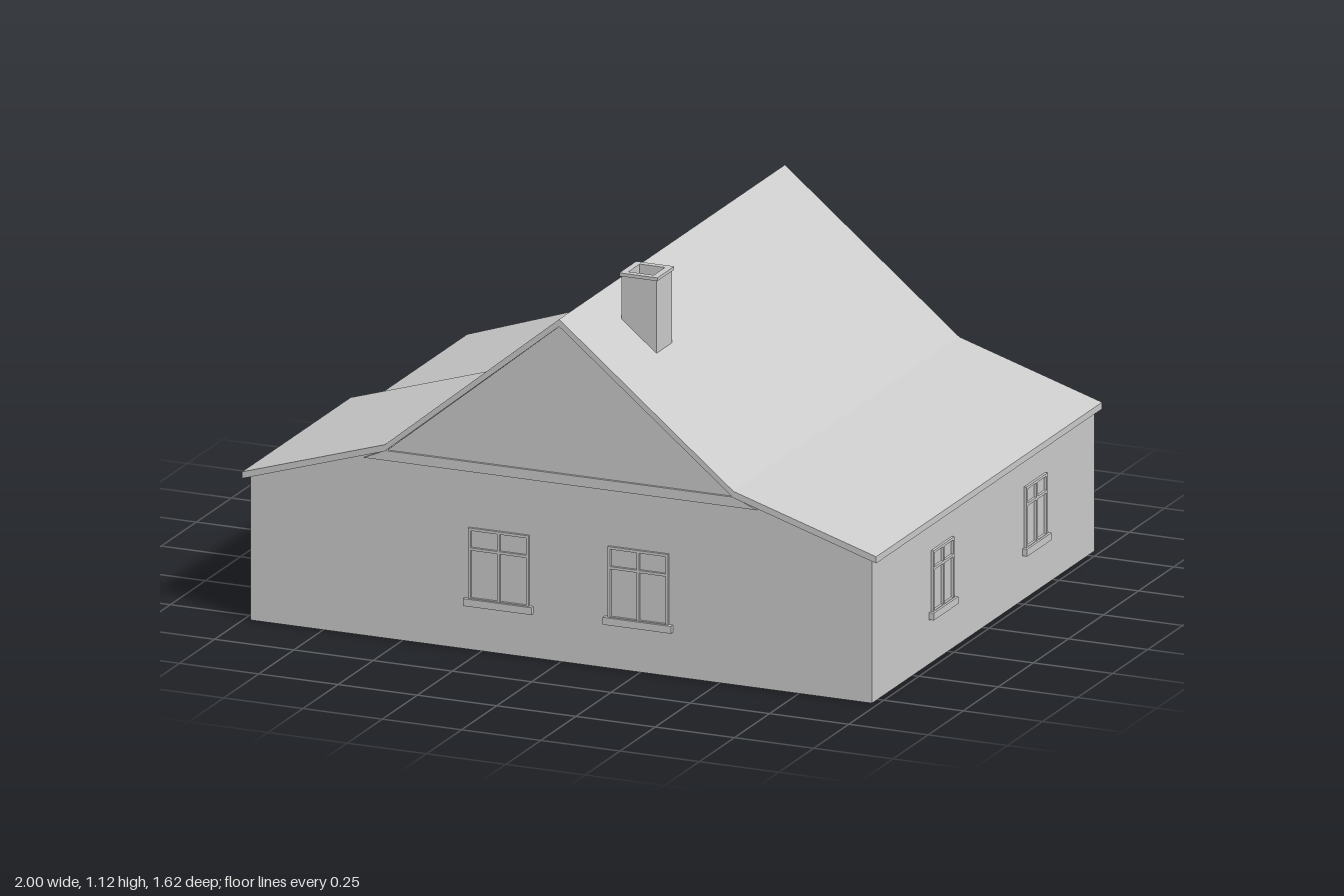
import * as THREE from 'three';

const material = new THREE.MeshStandardMaterial({ color: 0xcccccc, flatShading: true });

function add(parent, name, geometry, x = 0, y = 0, z = 0) {
  const mesh = new THREE.Mesh(geometry, material);
  mesh.name = name;
  mesh.position.set(x, y, z);
  parent.add(mesh);
  return mesh;
}

const shapeOf = (points) => new THREE.Shape(points.map(([x, y]) => new THREE.Vector2(x, y)));

// Extrude a cross-section drawn in x and y from z0 to z1
function prism(parent, name, points, z0, z1) {
  const geometry = new THREE.ExtrudeGeometry(shapeOf(points), { depth: z1 - z0, bevelEnabled: false });
  return add(parent, name, geometry, 0, 0, z0);
}

const rect = (x0, y0, x1, y1) => [[x0, y0], [x1, y0], [x1, y1], [x0, y1]];

// Flat frame with rectangular openings, standing on its wall plane and facing +z
function frame(parent, name, outer, holes, depth) {
  const shape = shapeOf(rect(...outer));
  for (const h of holes) shape.holes.push(new THREE.Path(rect(...h).reverse().map(([x, y]) => new THREE.Vector2(x, y))));
  return add(parent, name, new THREE.ExtrudeGeometry(shape, { depth, bevelEnabled: false }));
}

// Window with two tall panes, two top lights and a sill
function makeWindow(width, bottom, top) {
  const group = new THREE.Group();
  group.name = 'window';
  const w = width / 2, b = 0.008, split = top - (top - bottom) * 0.29;
  const holes = [];
  for (const [x0, x1] of [[-w + b, -b / 2], [b / 2, w - b]]) {
    holes.push([x0, bottom + b, x1, split - b / 2], [x0, split + b / 2, x1, top - b]);
  }
  frame(group, 'windowFrame', [-w, bottom, w, top], holes, 0.008);
  add(group, 'windowSill', new THREE.BoxGeometry(width + 0.025, 0.022, 0.03), 0, bottom - 0.005, 0);
  return group;
}

// Door with a surround and a flat leaf
function makeDoor(width, height) {
  const group = new THREE.Group();
  group.name = 'door';
  const w = width / 2;
  frame(group, 'doorFrame', [-w, 0, w, height], [[-w + 0.01, 0.01, w - 0.01, height - 0.01]], 0.009);
  add(group, 'doorLeaf', new THREE.BoxGeometry(width - 0.02, height - 0.02, 0.006), 0, height / 2, 0);
  return group;
}

function place(parent, part, x, z, turn) {
  part.position.set(x, 0, z);
  part.rotation.y = turn;
  parent.add(part);
}

export function createModel() {
  const house = new THREE.Group();
  house.name = 'house';
  const back = -0.795, front = 0.79, step = 0.03, cut = -0.57;

  // Solid body: full width in front, narrower beside the porch
  const rightHalf = [[0.98, 0], [0.98, 0.435], [0.55, 0.568], [0, 1.018]];
  prism(house, 'frontBody', [[-0.98, 0], ...rightHalf, [-0.55, 0.568], [-0.98, 0.435]], step, front);
  prism(house, 'rearBody', [[cut, 0], ...rightHalf, [-0.55, 0.568], [cut, 0.562]], back, step);

  // Two-pitch roof slab, shortened over the porch
  const roof = (name, eaveX, eaveY, z0, z1) => prism(house, name, [
    [eaveX, eaveY - 0.02], [-0.55, 0.57], [0, 1.018], [0.55, 0.57], [1, 0.43],
    [1, 0.45], [0.55, 0.59], [0, 1.04], [-0.55, 0.59], [eaveX, eaveY],
  ], z0, z1);
  roof('frontRoof', -1, 0.45, step, 0.805);
  roof('rearRoof', cut, 0.584, -0.805, step);

  // Ledge under each gable
  for (const [z0, z1] of [[front - 0.01, front + 0.008], [back - 0.006, back + 0.01]]) {
    const left = z0 > 0 ? -0.62 : cut;
    prism(house, 'gableLedge', [[left, 0.54], [0.62, 0.54], [0.55, 0.57], [-0.55, 0.57]], z0, z1);
  }

  // Lean-to porch, open at its inner end
  const porch = new THREE.Group();
  porch.name = 'porch';
  house.add(porch);
  prism(porch, 'porchRoof', [[-1, 0.385], [cut, 0.53], [cut, 0.545], [-1, 0.4]], -0.8, step);
  prism(porch, 'porchRearWall', [[-1, 0], [cut, 0], [cut, 0.535], [-1, 0.39]], -0.8, -0.785);
  prism(porch, 'porchSideWall', rect(-1, 0, -0.985, 0.39), -0.8, -0.12);
  prism(porch, 'porchFloor', rect(-1, 0, cut, 0.012), -0.8, step);

  // Hollow chimney with a slightly wider rim
  const chimney = new THREE.Group();
  chimney.name = 'chimney';
  chimney.position.set(0.135, 0, 0.485);
  house.add(chimney);
  const tube = (name, half, inner, y0, y1) => {
    const mesh = frame(chimney, name, [-half, -half, half, half], [[-inner, -inner, inner, inner]], y1 - y0);
    mesh.rotation.x = -Math.PI / 2;
    mesh.position.y = y0;
  };
  tube('chimneyStack', 0.055, 0.04, 0.88, 1.105);
  tube('chimneyRim', 0.06, 0.04, 1.105, 1.115);
  add(chimney, 'chimneyFloor', new THREE.BoxGeometry(0.09, 0.02, 0.09), 0, 1.0, 0);

  // Windows on all four sides
  for (const x of [-0.195, 0.245]) {
    place(house, makeWindow(0.19, 0.15, 0.37), x, front, 0);
    place(house, makeWindow(0.19, 0.15, 0.37), x, back, Math.PI);
  }
  for (const z of [0.295, -0.37]) place(house, makeWindow(0.15, 0.15, 0.34), 0.98, z, Math.PI / 2);
  place(house, makeWindow(0.15, 0.15, 0.34), -0.98, 0.31, -Math.PI / 2);

  // Doors at the back and on the right side
  place(house, makeDoor(0.21, 0.43), 0.74, back, Math.PI);
  place(house, makeDoor(0.2, 0.4), -0.98, 0.63, -Math.PI / 2);

  return house;
}
